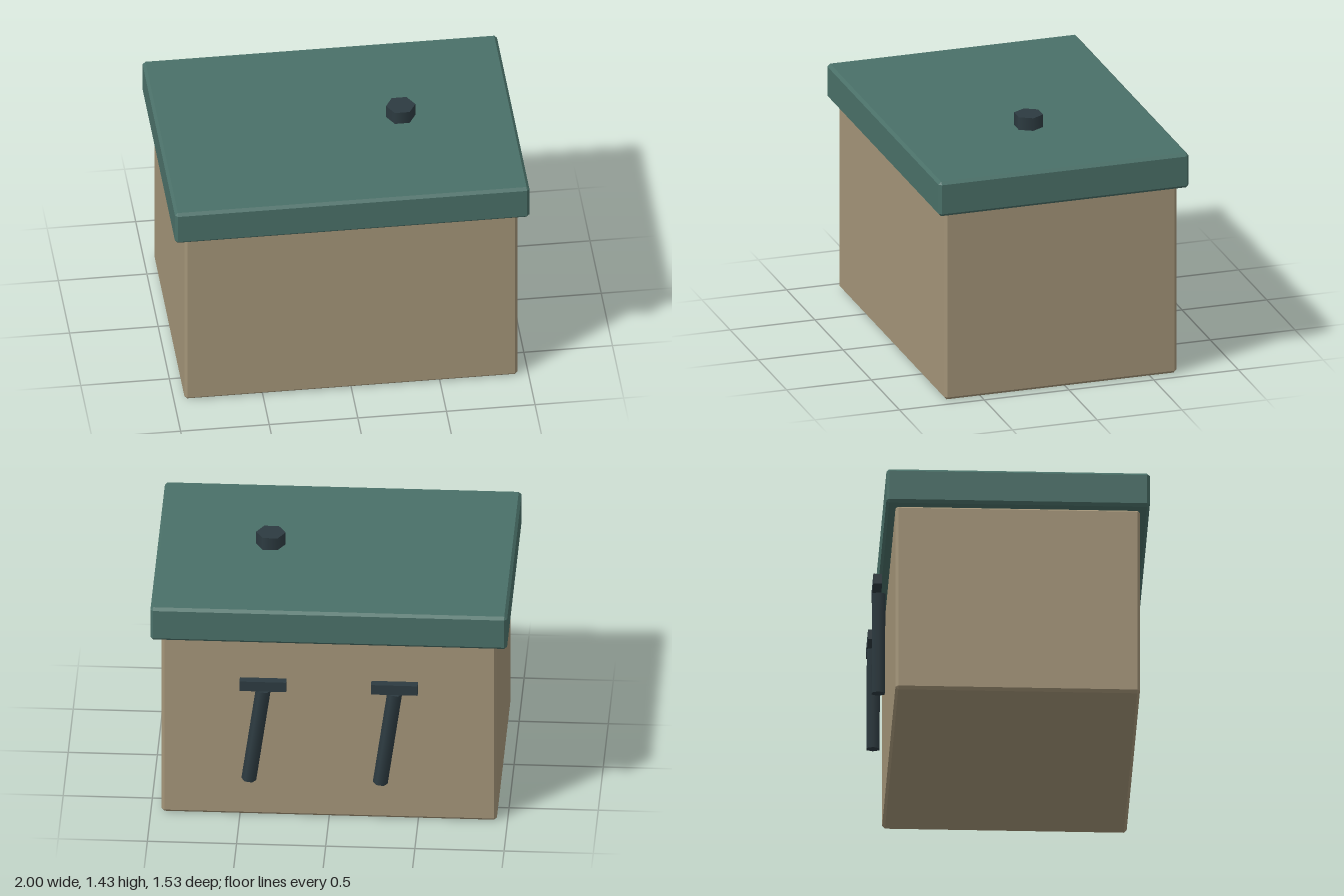
import * as THREE from 'three';
import { ConvexGeometry } from 'three/addons/geometries/ConvexGeometry.js';

const material = (color) => new THREE.MeshStandardMaterial({ color });

// Box with a flat chamfer on every edge
function chamferBox(w, h, d, c) {
  const half = [w / 2, h / 2, d / 2];
  const points = [];
  for (const sx of [-1, 1]) for (const sy of [-1, 1]) for (const sz of [-1, 1]) {
    for (let outer = 0; outer < 3; outer++) {
      const p = half.map((v, i) => (i === outer ? v : v - c));
      points.push(new THREE.Vector3(sx * p[0], sy * p[1], sz * p[2]));
    }
  }
  return new ConvexGeometry(points);
}

function addPart(parent, name, geometry, mat, x, y, z) {
  const mesh = new THREE.Mesh(geometry, mat);
  mesh.name = name;
  mesh.position.set(x, y, z);
  parent.add(mesh);
  return mesh;
}

export function createModel() {
  const model = new THREE.Group();
  model.name = 'storageBox';
  const wood = material(0xa39478);
  const green = material(0x4a7068);
  const iron = material(0x2d3b41);
  const zMid = 0.027;

  // Body and overhanging lid
  addPart(model, 'body', chamferBox(1.88, 1.13, 1.37, 0.016), wood, 0, 0.565, zMid);
  addPart(model, 'lid', chamferBox(2, 0.206, 1.476, 0.016), green, 0, 1.227, zMid);

  // Six-sided knob hovering over the lid, corners pointing along x
  const knob = new THREE.CylinderGeometry(0.083, 0.083, 0.075, 6);
  knob.rotateY(Math.PI / 6);
  addPart(model, 'knob', knob, iron, 0.365, 1.393, zMid);

  // Two leaning T-shaped tools behind the body
  const bar = new THREE.BoxGeometry(0.262, 0.06, 0.05);
  const shaft = new THREE.CylinderGeometry(0.042, 0.042, 0.58, 6);
  shaft.rotateY(Math.PI / 6);
  for (const [side, x] of [['right', -0.371], ['left', 0.366]]) {
    const tool = new THREE.Group();
    tool.name = side + 'Tool';
    tool.position.x = x;
    addPart(tool, 'crossbar', bar, iron, 0, 0.878, -0.74);
    const rod = addPart(tool, 'shaft', shaft, iron, 0.04, 0.554, -0.729);
    rod.rotation.z = 0.14;
    model.add(tool);
  }
  return model;
}
